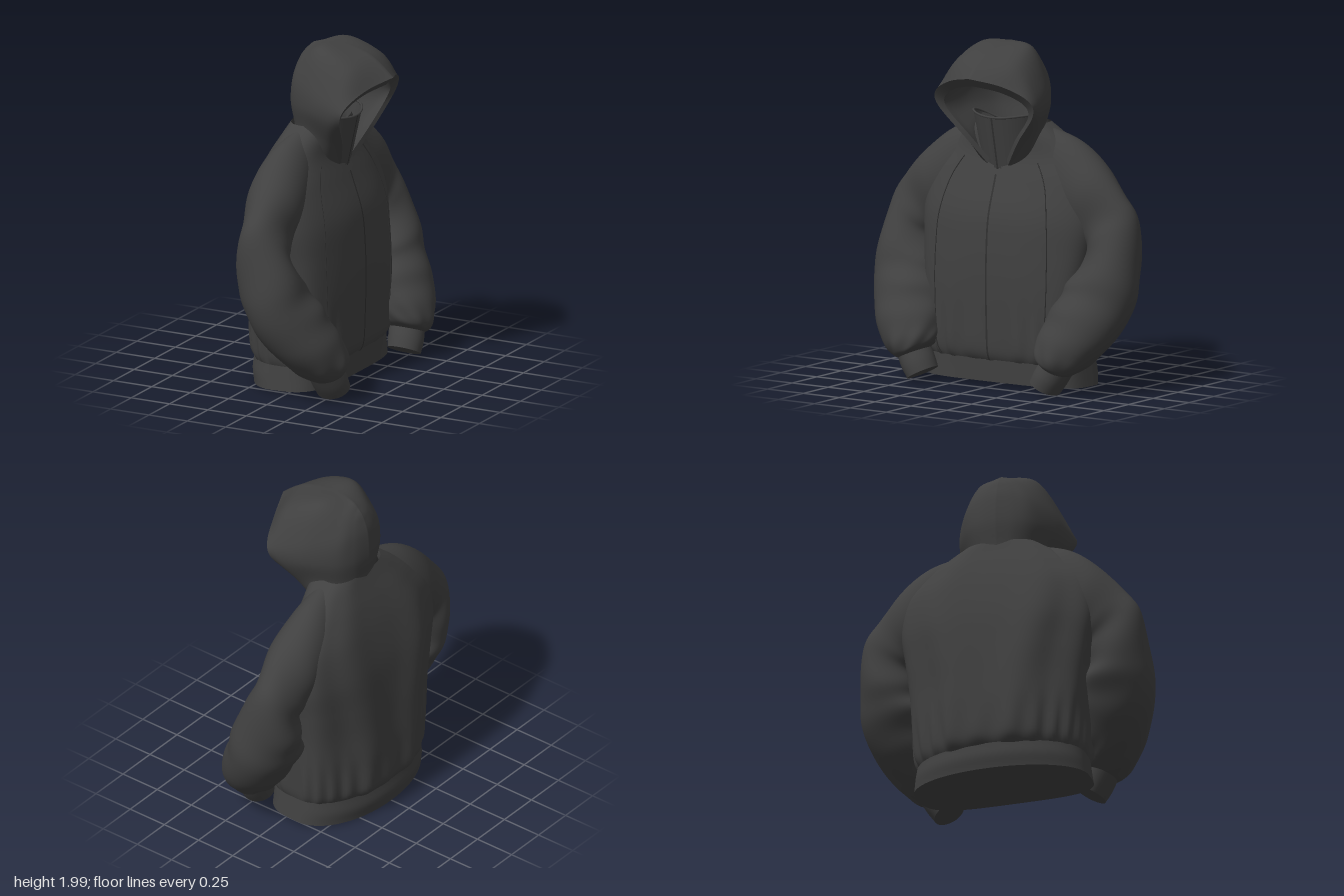
import * as THREE from 'three';
import { mergeVertices } from 'three/addons/utils/BufferGeometryUtils.js';

const { sin, cos, PI, abs, sign, pow, exp, min, max } = Math;

// Smooth interpolation through rows of numbers, t in 0..1
function blend(rows, t) {
  const n = rows.length - 1, i = min(n - 1, Math.floor(t * n)), f = t * n - i;
  const [a, b, c, d] = [rows[max(0, i - 1)], rows[i], rows[i + 1], rows[min(n, i + 2)]];
  return b.map((_, k) => b[k] + 0.5 * f * (c[k] - a[k]
    + f * (2 * a[k] - 5 * b[k] + 4 * c[k] - d[k] + f * (3 * (b[k] - c[k]) + d[k] - a[k]))));
}

// Surface from a rule f(u, v) -> [x, y, z]
function surface(f, nu, nv) {
  const pos = [], index = [];
  for (let j = 0; j <= nv; j++) for (let i = 0; i <= nu; i++) pos.push(...f(i / nu, j / nv));
  for (let j = 0; j < nv; j++) for (let i = 0; i < nu; i++) {
    const a = j * (nu + 1) + i, b = a + nu + 1;
    index.push(a, b, a + 1, a + 1, b, b + 1);
  }
  let g = new THREE.BufferGeometry();
  g.setAttribute('position', new THREE.Float32BufferAttribute(pos, 3));
  g.setIndex(index);
  g = mergeVertices(g, 1e-5);
  g.computeVertexNormals();
  return g;
}

const bump = (t, c, w) => exp(-(((t - c) / w) ** 2));

// Torso rows: y, back x, front x, half width, front roundness
const TORSO = [
  [0.15, -0.37, 0.19, 0.49, 0.52], [0.22, -0.41, 0.22, 0.51, 0.52], [0.4, -0.415, 0.23, 0.525, 0.55],
  [0.6, -0.405, 0.235, 0.54, 0.6], [0.8, -0.39, 0.23, 0.565, 0.7], [1.0, -0.365, 0.21, 0.59, 0.8],
  [1.2, -0.315, 0.145, 0.56, 0.85], [1.35, -0.26, 0.095, 0.44, 0.85], [1.46, -0.21, 0.09, 0.32, 0.85], [1.53, -0.18, 0.09, 0.22, 0.85],
];
// Oval that is square at the front where it is round at the back, and the reverse
function oval(a, xb, xf, hz, e) {
  const c = cos(a), s = sin(a), k = c > 0 ? e : 1.52 - e;
  const mid = (xb + xf) / 2, r = (xf - xb) / 2;
  return [mid + r * sign(c) * pow(abs(c), k), hz * sign(s) * pow(abs(s), k)];
}
function torsoPoint(a, t, lift = 0) {
  const [y, xb, xf, hz, e] = blend(TORSO, t);
  const back = max(0, -cos(a));
  const gather = 0.009 * sin(a * 22 + 2 * sin(a * 3)) * bump(t, 0.13, 0.1);
  const folds = back * (0.018 * cos(a * 8 + PI) - 0.006) * bump(t, 0.4, 0.35)
    + 0.007 * sin(a * 6 + t * 5) * abs(sin(a)) * bump(t, 0.4, 0.3);
  const k = gather + folds + lift;
  const [x, z] = oval(a, xb, xf, hz, e);
  return [x + k * cos(a), y, z + k * sin(a)];
}

// Waistband, dipping slightly toward the back
function hemPoint(a, v) {
  const [x, z] = oval(a, blend([[-0.37], [-0.385], [-0.375]], v)[0], 0.2, 0.52 - 0.02 * v, 0.54);
  const low = 0.022 + 0.014 * cos(a);
  return [x, low + v * (0.165 - low), z];
}

// Sleeve rows: outer z, outer y, inner z, inner y, back x, front x
const SLEEVE = [
  [0.2, 1.52, 0.2, 1.1, -0.16, 0.04], [0.42, 1.445, 0.32, 0.95, -0.23, 0.075],
  [0.6, 1.315, 0.42, 0.88, -0.24, 0.09], [0.74, 1.15, 0.5, 0.85, -0.21, 0.075],
  [0.835, 1.0, 0.53, 0.8, -0.2, 0.1], [0.875, 0.72, 0.48, 0.68, -0.2, 0.2],
  [0.865, 0.52, 0.42, 0.57, -0.165, 0.27], [0.8, 0.34, 0.385, 0.45, -0.08, 0.345],
  [0.7, 0.21, 0.365, 0.33, 0.02, 0.385], [0.62, 0.145, 0.37, 0.25, 0.1, 0.38],
  [0.575, 0.125, 0.41, 0.2, 0.15, 0.345],
];
const CUFF = [
  [0.585, 0.13, 0.4, 0.205, 0.14, 0.35], [0.55, 0.07, 0.37, 0.155, 0.15, 0.36], [0.51, 0.015, 0.345, 0.1, 0.16, 0.36],
];
function tubePoint(rows, side, a, t, fold, r = 1) {
  const [zo, yo, zi, yi, xb, xf] = blend(rows, t);
  // Wrinkles gather on the inside of the elbow and above the cuff
  const w = fold * (0.04 * sin(t * 50 + 2.6 * sin(a) + side) * bump(t, 0.52, 0.2) * (0.55 - 0.45 * cos(a))
    + 0.03 * sin(a * 7 + t * 20) * bump(t, 0.86, 0.08) + 0.03 * sin(a * 3 + t * 24) * bump(t, 0.4, 0.25));
  const c = cos(a) * r * (1 + w), s = sin(a) * r * (1 + 1.4 * w);
  return [(xb + xf) / 2 + s * (xf - xb) / 2, (yo + yi) / 2 + c * (yo - yi) / 2, side * ((zo + zi) / 2 + c * (zo - zi) / 2)];
}

// Hood half-curves from the face opening to the back seam, each from throat to crown: x, y, z
const HOOD = [
  [[0.12, 1.29, 0.07], [0.19, 1.45, 0.19], [0.245, 1.62, 0.33], [0.285, 1.715, 0.32], [0.345, 1.79, 0.18], [0.42, 1.83, 0]],
  [[0.06, 1.3, 0.16], [0.11, 1.45, 0.23], [0.17, 1.62, 0.325], [0.2, 1.75, 0.31], [0.24, 1.9, 0.2], [0.27, 1.945, 0]],
  [[-0.03, 1.38, 0.24], [0, 1.5, 0.235], [0.03, 1.65, 0.29], [0.03, 1.8, 0.265], [0.04, 1.98, 0.17], [0.05, 2, 0]],
  [[-0.12, 1.42, 0.18], [-0.11, 1.5, 0.175], [-0.12, 1.65, 0.205], [-0.12, 1.8, 0.185], [-0.095, 1.93, 0.11], [-0.08, 1.98, 0]],
  [[-0.17, 1.41, 0.1], [-0.17, 1.5, 0.095], [-0.185, 1.65, 0.115], [-0.175, 1.8, 0.1], [-0.15, 1.9, 0.06], [-0.13, 1.945, 0]],
  [[-0.19, 1.4, 0], [-0.19, 1.5, 0], [-0.21, 1.65, 0], [-0.2, 1.8, 0], [-0.17, 1.89, 0], [-0.15, 1.925, 0]],
];
function hoodPoint(u, v, inset = 0) {
  const w = 2 * u - 1, k = 1 - inset;
  const [x, y, z] = blend(HOOD.map(row => blend(row, 1 - abs(w))), v);
  return [0.1 + (x - 0.1) * k, 1.5 + (y - 1.5) * k, (w < 0 ? z : -z) * k];
}

// Standing collar inside the hood, lower at the nape
function collarPoint(a, v, lift = 0) {
  const front = 0.105 + 0.075 * v + lift;
  const x = (front - 0.13) / 2 + (front + 0.13) / 2 * cos(a);
  return [x, 1.22 + v * (0.35 + 0.05 * sin(a) ** 2 - 0.04 * (1 - cos(a))), (0.16 + 0.05 * v) * sin(a)];
}

export function createModel() {
  const model = new THREE.Group();
  const fabric = new THREE.MeshStandardMaterial({ color: 0x404040, side: THREE.DoubleSide });
  fabric.name = 'charcoal fabric';
  const trim = new THREE.MeshStandardMaterial({ color: 0x303030, side: THREE.DoubleSide });
  trim.name = 'dark trim';
  const add = (name, geometry, material = fabric) => {
    const m = new THREE.Mesh(geometry, material);
    m.name = name;
    model.add(m);
  };
  const tube = (name, points, r, material) => add(name, new THREE.TubeGeometry(
    new THREE.CatmullRomCurve3(points.map(p => new THREE.Vector3(...p))), 60, r, 6), material);
  const steps = (n, f) => Array.from({ length: n + 1 }, (_, i) => f(i / n));

  // Body and waistband
  add('torso', surface((u, v) => torsoPoint(-u * 2 * PI, v), 140, 60));
  add('waistband', surface((u, v) => hemPoint(-u * 2 * PI, v), 100, 8));
  add('waistbandBottom', surface((u, v) => {
    const [x, y, z] = hemPoint(u * 2 * PI, 0);
    return [-0.085 + (x + 0.085) * v, y * v + 0.022 * (1 - v), z * v];
  }, 100, 4));

  // Sleeves with closed cuffs
  for (const side of [1, -1]) {
    const label = side > 0 ? 'left' : 'right';
    const turn = u => side * u * 2 * PI;
    add(label + 'Sleeve', surface((u, v) => tubePoint(SLEEVE, side, turn(u), v, 1), 56, 100));
    add(label + 'Cuff', surface((u, v) => tubePoint(CUFF, side, turn(u), v, 0), 40, 8));
    add(label + 'CuffEnd', surface((u, v) => tubePoint(CUFF, side, turn(u), 1, 0, 1 - v), 40, 2));

    // Front panel seam
    tube(label + 'FrontSeam', steps(30, t => torsoPoint(side * (0.5 + 0.12 * sin(t * PI)), 0.05 + t * 0.7, 0.001)), 0.003, trim);
  }

  // Hood with lining and a broad turned-in rim
  add('hood', surface((u, v) => hoodPoint(u, v), 80, 50));
  add('hoodLining', surface((u, v) => hoodPoint(1 - u, v, 0.15), 80, 40));
  add('hoodRim', surface((u, v) => hoodPoint(u, 0, 0.15 * (1 - v)), 80, 4));

  // Standing collar
  add('collar', surface((u, v) => collarPoint(-u * 2 * PI, v), 60, 10));
  tube('collarEdge', steps(40, t => collarPoint(t * 2 * PI, 1)), 0.007, fabric);

  // Zip placket with a dark closing line
  const strip = (width, lift) => [
    surface((u, v) => {
      const [x, y] = torsoPoint(0, 0.03 + v * 0.66, lift);
      return [x, y, width * (0.5 - u)];
    }, 2, 50),
    surface((u, v) => {
      const [x, y] = collarPoint(0, v, lift);
      return [x, y, width * (0.5 - u)];
    }, 2, 12),
  ];
  for (const g of strip(0.05, 0.005)) add('zipPlacket', g);
  for (const g of strip(0.012, 0.008)) add('zipLine', g, trim);

  return model;
}
